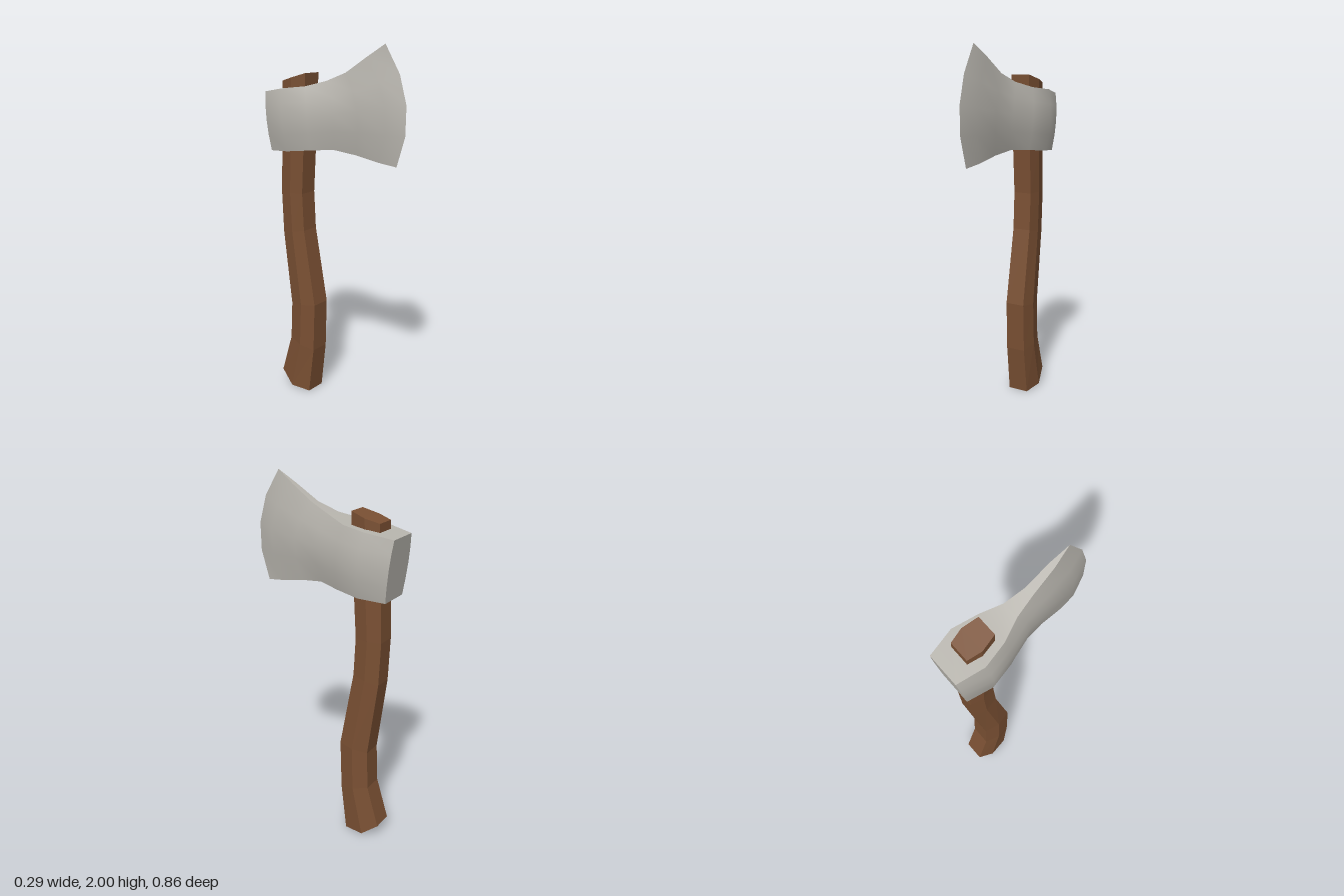
import * as THREE from 'three';

const steel = new THREE.MeshStandardMaterial({ color: 0xb8b5ae });
steel.name = 'steel';
const wood = new THREE.MeshStandardMaterial({ color: 0x7a5033 });
wood.name = 'wood';

// Surface over a grid of points; faces point along (column direction) x (row direction)
function patch(name, grid, material, flat = false) {
  const cols = grid[0].length;
  const index = [];
  for (let i = 0; i < grid.length - 1; i++) {
    for (let j = 0; j < cols - 1; j++) {
      const a = i * cols + j, b = a + 1, d = a + cols, c = d + 1;
      index.push(a, b, c, a, c, d);
    }
  }
  let geometry = new THREE.BufferGeometry();
  geometry.setAttribute('position', new THREE.Float32BufferAttribute(grid.flat(2), 3));
  geometry.setIndex(index);
  if (flat) geometry = geometry.toNonIndexed();
  geometry.computeVertexNormals();
  const mesh = new THREE.Mesh(geometry, material);
  mesh.name = name;
  return mesh;
}

const mirror = ([x, y, z]) => [-x, y, z];

function createHead() {
  const head = new THREE.Group();
  head.name = 'axeHead';
  // Stations from the poll to the cutting edge: bottom, middle and top points
  const stations = [
    [[0.09, 1.42, -0.39], [0.105, 1.59, -0.41], [0.09, 1.74, -0.427]],
    [[0.12, 1.432, -0.25], [0.145, 1.605, -0.26], [0.12, 1.765, -0.28]],
    [[0.09, 1.447, -0.11], [0.113, 1.625, -0.115], [0.09, 1.78, -0.145]],
    [[0.045, 1.457, 0.01], [0.07, 1.645, 0.03], [0.045, 1.81, -0.035]],
    [[0.025, 1.44, 0.14], [0.052, 1.668, 0.17], [0.025, 1.855, 0.075]],
    [[0.017, 1.415, 0.28], [0.036, 1.695, 0.33], [0.017, 1.935, 0.2]],
    [[0, 1.4, 0.38], [0, 1.71, 0.43], [0, 2, 0.3]],
  ];
  // Curve through the three points of each station
  const left = stations.map(([b, m, t]) => [0, 0.25, 0.5, 0.75, 1].map((s) =>
    b.map((v, k) => v * (1 - s) * (1 - 2 * s) + m[k] * 4 * s * (1 - s) + t[k] * s * (2 * s - 1))));
  const right = left.map((row) => row.map(mirror));
  const top = left.map((row) => row[4]);
  const bottom = left.map((row) => row[0]);
  head.add(
    patch('leftCheek', left, steel),
    patch('rightCheek', right.map((row) => [...row].reverse()), steel),
    patch('headTop', [top.map(mirror), top], steel),
    patch('headBottom', [bottom, bottom.map(mirror)], steel),
    patch('poll', [right[0], left[0]], steel),
  );
  return head;
}

function createHandle() {
  const handle = new THREE.Group();
  handle.name = 'handle';
  // Front y,z / side y,z / back y,z / half width at the faces and at the side ridge
  const rings = [
    [0, -0.165, 0.01, -0.28, 0.08, -0.37, 0.058, 0.08],
    [0.27, -0.13, 0.29, -0.215, 0.31, -0.30, 0.056, 0.077],
    [0.55, -0.12, 0.54, -0.205, 0.53, -0.29, 0.055, 0.075],
    [0.98, -0.195, 0.965, -0.27, 0.95, -0.345, 0.052, 0.067],
    [1.19, -0.205, 1.19, -0.28, 1.19, -0.355, 0.052, 0.068],
    [1.44, -0.19, 1.43, -0.267, 1.42, -0.345, 0.053, 0.07],
    [1.845, -0.17, 1.82, -0.255, 1.80, -0.33, 0.055, 0.072],
  ].map(([fy, fz, sy, sz, by, bz, w, ws]) => {
    const half = [[w, fy, fz], [ws, sy, sz], [w, by, bz]];
    return [...half, ...half.map(mirror).reverse(), half[0]];
  });
  const cap = (r) => [[r[3], r[4], r[5]], [r[2], r[1], r[0]]];
  handle.add(
    patch('shaft', rings, wood, true),
    patch('shaftTop', cap(rings[rings.length - 1]), wood, true),
    patch('shaftButt', cap(rings[0]).reverse(), wood, true),
  );
  return handle;
}

export function createModel() {
  const axe = new THREE.Group();
  axe.name = 'axe';
  axe.add(createHandle(), createHead());
  return axe;
}
